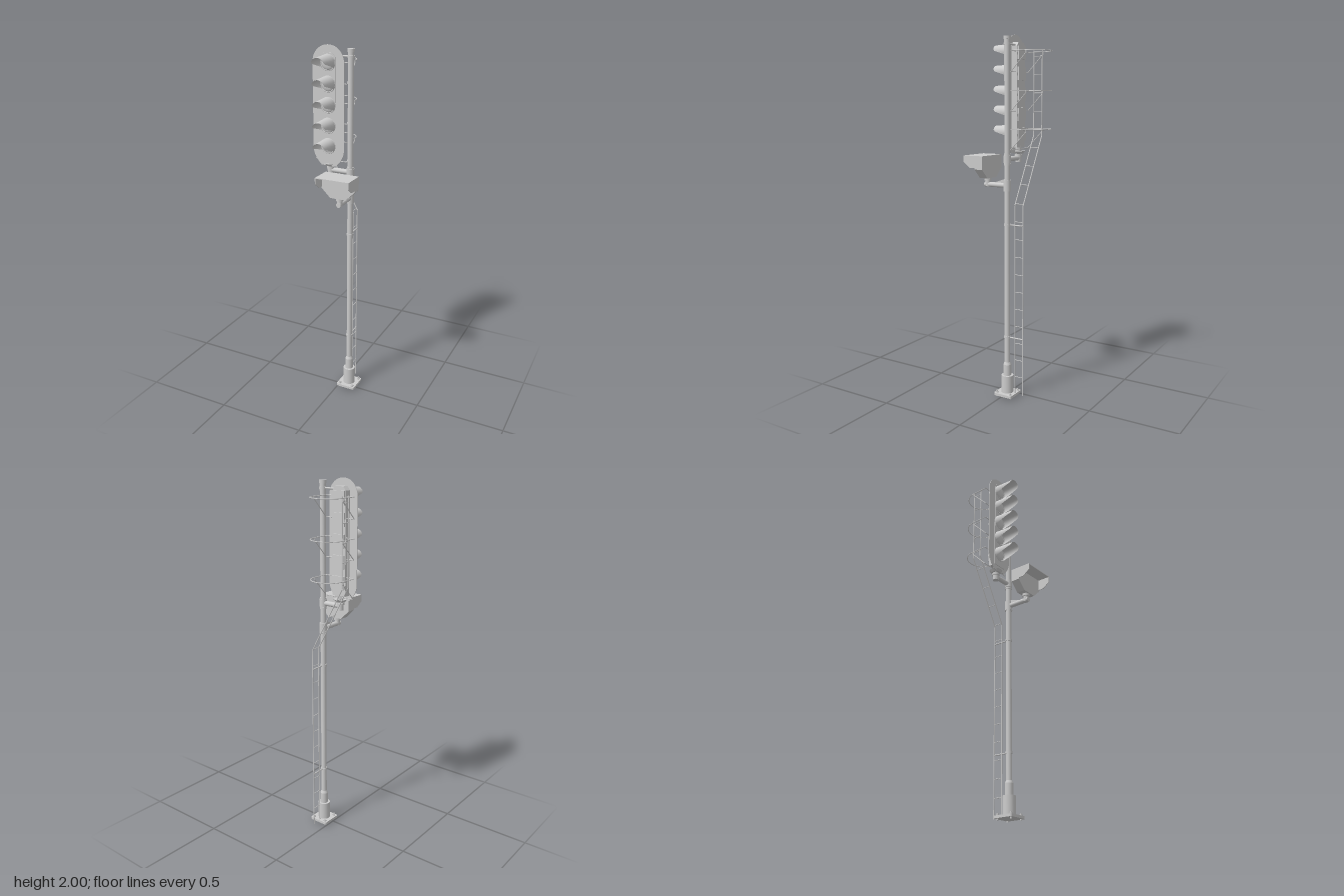
import * as THREE from 'three';

const mat = new THREE.MeshStandardMaterial({ color: 0xcccccc });
const thin = new THREE.MeshStandardMaterial({ color: 0xcccccc, side: THREE.DoubleSide });
const V = (x, y, z) => new THREE.Vector3(x, y, z);

const PX = 0.055, PZ = -0.014;   // pole axis
const HX = -0.062;               // signal head axis

function add(parent, name, geo, x = 0, y = 0, z = 0, m = mat) {
  const mesh = new THREE.Mesh(geo, m);
  mesh.name = name;
  mesh.position.set(x, y, z);
  parent.add(mesh);
  return mesh;
}
const box = (p, n, w, h, d, x, y, z) => add(p, n, new THREE.BoxGeometry(w, h, d), x, y, z);

// Round bar between two points
function bar(p, name, a, b, r, seg = 8) {
  const mesh = add(p, name, new THREE.CylinderGeometry(r, r, a.distanceTo(b), seg));
  mesh.position.copy(a).lerp(b, 0.5);
  mesh.quaternion.setFromUnitVectors(V(0, 1, 0), b.clone().sub(a).normalize());
  return mesh;
}
function group(parent, name) {
  const g = new THREE.Group();
  g.name = name;
  parent.add(g);
  return g;
}
function extrude(points, depth) {
  const s = new THREE.Shape(points.map(([x, y]) => new THREE.Vector2(x, y)));
  return new THREE.ExtrudeGeometry(s, { depth, bevelEnabled: false });
}

// Tapered hood whose lower edge is cut away towards the tip
function visorGeometry() {
  const stations = [[0, -0.043], [0.012, -0.024], [0.05, -0.013], [0.09, -0.002], [0.118, 0.006], [0.128, 0.016]];
  const n = 24, pos = [], idx = [];
  stations.forEach(([z, cut], i) => {
    const r = 0.043 - 0.045 * z;
    const half = Math.acos(Math.max(-1, cut / r));
    for (let j = 0; j <= n; j++) {
      const a = -half + (2 * half * j) / n;
      pos.push(r * Math.sin(a), r * Math.cos(a), z);
      if (i && j < n) {
        const q = i * (n + 1) + j, o = q - n - 1;
        idx.push(o, q, o + 1, q, q + 1, o + 1);
      }
    }
  });
  const g = new THREE.BufferGeometry();
  g.setAttribute('position', new THREE.Float32BufferAttribute(pos, 3));
  g.setIndex(idx);
  g.computeVertexNormals();
  return g;
}

function buildPole(root) {
  const g = group(root, 'pole');
  const c = (n, r0, r1, y0, y1) =>
    add(g, n, new THREE.CylinderGeometry(r1, r0, y1 - y0, 24), PX, (y0 + y1) / 2, PZ);
  c('poleTube', 0.0155, 0.0155, 0.1, 1.975);
  c('poleCap', 0.019, 0.019, 1.968, 1.985);
  c('baseSleeve', 0.034, 0.034, 0.02, 0.122);
  c('sleeveNeck', 0.022, 0.022, 0.12, 0.185);
  c('sleeveTaper', 0.022, 0.016, 0.185, 0.2);
  for (const y of [0.345, 0.985, 1.175, 1.225, 1.315, 1.365, 1.945])
    c('collar', 0.0185, 0.0185, y - 0.006, y + 0.006);

  // Base plate with rounded corners
  const h = 0.057, r = 0.01, s = new THREE.Shape();
  [[1, 1, 0], [-1, 1, 1], [-1, -1, 2], [1, -1, 3]].forEach(([x, y, q]) =>
    s.absarc(x * (h - r), y * (h - r), r, q * Math.PI / 2, (q + 1) * Math.PI / 2));
  add(g, 'basePlate', new THREE.ExtrudeGeometry(s, { depth: 0.014, bevelEnabled: false }), PX, 0.008, PZ)
    .rotation.x = -Math.PI / 2;
  for (const x of [-0.04, 0.04]) for (const z of [-0.043, 0.043]) {
    add(g, 'anchorNut', new THREE.CylinderGeometry(0.008, 0.008, 0.008, 6), PX + x, 0.025, PZ + z);
    add(g, 'anchorBolt', new THREE.CylinderGeometry(0.0045, 0.0045, 0.035, 10), PX + x, 0.0175, PZ + z);
  }
}

function buildSignalHead(root) {
  const g = group(root, 'signalHead');
  // Backing board: round top, tapered bottom
  const s = new THREE.Shape();
  s.moveTo(-0.09, 1.91);
  s.lineTo(-0.09, 1.455);
  s.quadraticCurveTo(-0.085, 1.41, -0.042, 1.37);
  s.lineTo(0.042, 1.37);
  s.quadraticCurveTo(0.085, 1.41, 0.09, 1.455);
  s.lineTo(0.09, 1.91);
  s.absarc(0, 1.91, 0.09, 0, Math.PI);
  add(g, 'backingBoard', new THREE.ExtrudeGeometry(s, { depth: 0.004, bevelEnabled: false, curveSegments: 24 }), HX, 0, 0.006);

  // Housing behind the board and the slim panel in front of it
  const outline = [[-0.042, 1.4], [0.042, 1.4], [0.042, 1.94], [0.026, 1.96], [-0.026, 1.96], [-0.042, 1.94]];
  add(g, 'housing', extrude(outline, 0.043), HX, 0, -0.029);

  const visor = visorGeometry();
  for (let i = 0; i < 5; i++) {
    const y = 1.912 - i * 0.1083;
    add(g, 'visor', visor, HX, y, 0.008, thin).scale.z = 0.93;
    add(g, 'lensRing', new THREE.TorusGeometry(0.04, 0.003, 8, 32), HX, y, 0.014);
    const lens = add(g, 'lens', new THREE.SphereGeometry(0.038, 28, 8, 0, 2 * Math.PI, 0, Math.PI / 2), HX, y, 0.012);
    lens.rotation.x = Math.PI / 2;
    lens.scale.y = 0.3;
    box(g, 'rearDoor', 0.076, 0.07, 0.01, HX, y - 0.008, -0.033);
    for (const x of [-0.043, 0.043])
      box(g, 'doorHinge', 0.008, 0.014, 0.01, HX + x, y - 0.012, -0.028);
  }

  // Mounting: neck, swivel and cross pipe below, stay above
  const ay = 1.342;
  add(g, 'neckFlange', new THREE.CylinderGeometry(0.036, 0.026, 0.014, 24), HX, 1.373, PZ);
  bar(g, 'neck', V(HX, 1.32, PZ), V(HX, 1.41, PZ), 0.017, 20);
  add(g, 'neckNut', new THREE.CylinderGeometry(0.021, 0.021, 0.012, 20), HX, 1.355, PZ);
  bar(g, 'crossPipe', V(HX, ay, PZ), V(PX, ay, PZ), 0.0135, 20);
  bar(g, 'pipeClamp', V(PX, ay - 0.02, PZ), V(PX, ay + 0.02, PZ), 0.021, 20);
  bar(g, 'upperStay', V(HX + 0.03, 1.945, PZ), V(PX, 1.945, PZ), 0.005, 10);
}

function buildRouteIndicator(root) {
  const g = group(root, 'routeIndicator');
  const hex = [[-0.096, 1.36], [-0.096, 1.287], [-0.045, 1.237], [0.045, 1.237], [0.096, 1.287], [0.096, 1.36]];
  add(g, 'indicatorBox', extrude(hex, 0.05), PX, 0, 0.084);
  // Hood: flat roof and two cut-away cheeks
  box(g, 'hoodRoof', 0.192, 0.004, 0.121, PX, 1.358, 0.1445);
  const cheek = [[0.084, 1.36], [0.084, 1.295], [0.165, 1.295], [0.205, 1.324], [0.205, 1.36]];
  const cheekGeo = extrude(cheek.map(([z, y]) => [-z, y]), 0.004).rotateY(Math.PI / 2);
  for (const x of [-0.096, 0.092]) add(g, 'hoodCheek', cheekGeo, PX + x, 0, 0);
  // Bracket from the pole
  bar(g, 'arm', V(PX, 1.2, PZ), V(PX, 1.2, 0.128), 0.0135, 20);
  bar(g, 'post', V(PX, 1.19, 0.11), V(PX, 1.24, 0.11), 0.014, 20);
  bar(g, 'postCollar', V(PX, 1.222, 0.11), V(PX, 1.236, 0.11), 0.02, 20);
  bar(g, 'armClamp', V(PX, 1.17, PZ), V(PX, 1.23, PZ), 0.0205, 20);
  const rib = extrude([[0, 1.235], [0, 1.2], [-0.065, 1.2], [-0.065, 1.213]], 0.004).rotateY(Math.PI / 2);
  add(g, 'armRib', rib, PX - 0.002, 0, 0);
}

function buildLadder(root) {
  const g = group(root, 'ladder');
  const zs = [-0.061, -0.112];
  const path = [V(0.052, 0.015, 0), V(0.052, 1.095, 0), V(-0.147, 1.46, 0), V(-0.147, 1.92, 0)];
  for (const z of zs) for (let i = 0; i < 3; i++)
    bar(g, 'rail', path[i].clone().setZ(z), path[i + 1].clone().setZ(z), 0.003);
  // Rungs follow the straight, slanted and upper runs
  for (let y = 0.12; y < 1.93; y += 0.0983) {
    const t = THREE.MathUtils.clamp((y - 1.095) / 0.365, 0, 1);
    const x = 0.052 - 0.199 * t;
    bar(g, 'rung', V(x, y, zs[0]), V(x, y, zs[1]), 0.0022, 6);
  }
  for (const y of [0.345, 0.985]) bar(g, 'ladderBracket', V(PX, y, PZ), V(0.052, y, -0.112), 0.004);

  // Safety hoops with slanted struts down to a cross bar on the head
  const R = 0.091, cx = -0.061, zc = -0.114;
  for (const y of [1.912, 1.705, 1.5]) {
    const hoop = group(g, 'safetyHoop');
    const arc = add(hoop, 'hoopArc', new THREE.TorusGeometry(R, 0.0025, 6, 40, Math.PI), cx, y, zc);
    arc.rotation.x = -Math.PI / 2;
    for (const s of [-1, 1]) {
      const x = cx + s * R;
      bar(hoop, 'hoopSide', V(x, y, zc), V(x, y, -0.021), 0.0025, 6);
      bar(hoop, 'hoopStrut', V(x, y - 0.012, zc), V(x, y - 0.108, -0.021), 0.0025, 6);
      bar(hoop, 'strutTip', V(x, y, zc), V(x, y - 0.012, zc), 0.0025, 6);
    }
    for (const dy of [0, -0.108])
      bar(hoop, 'hoopCrossBar', V(cx - R, y + dy, -0.021), V(cx + R, y + dy, -0.021), 0.0025, 6);
  }
}

export function createModel() {
  const root = new THREE.Group();
  root.name = 'railwaySignal';
  buildPole(root);
  buildSignalHead(root);
  buildRouteIndicator(root);
  buildLadder(root);
  return root;
}
